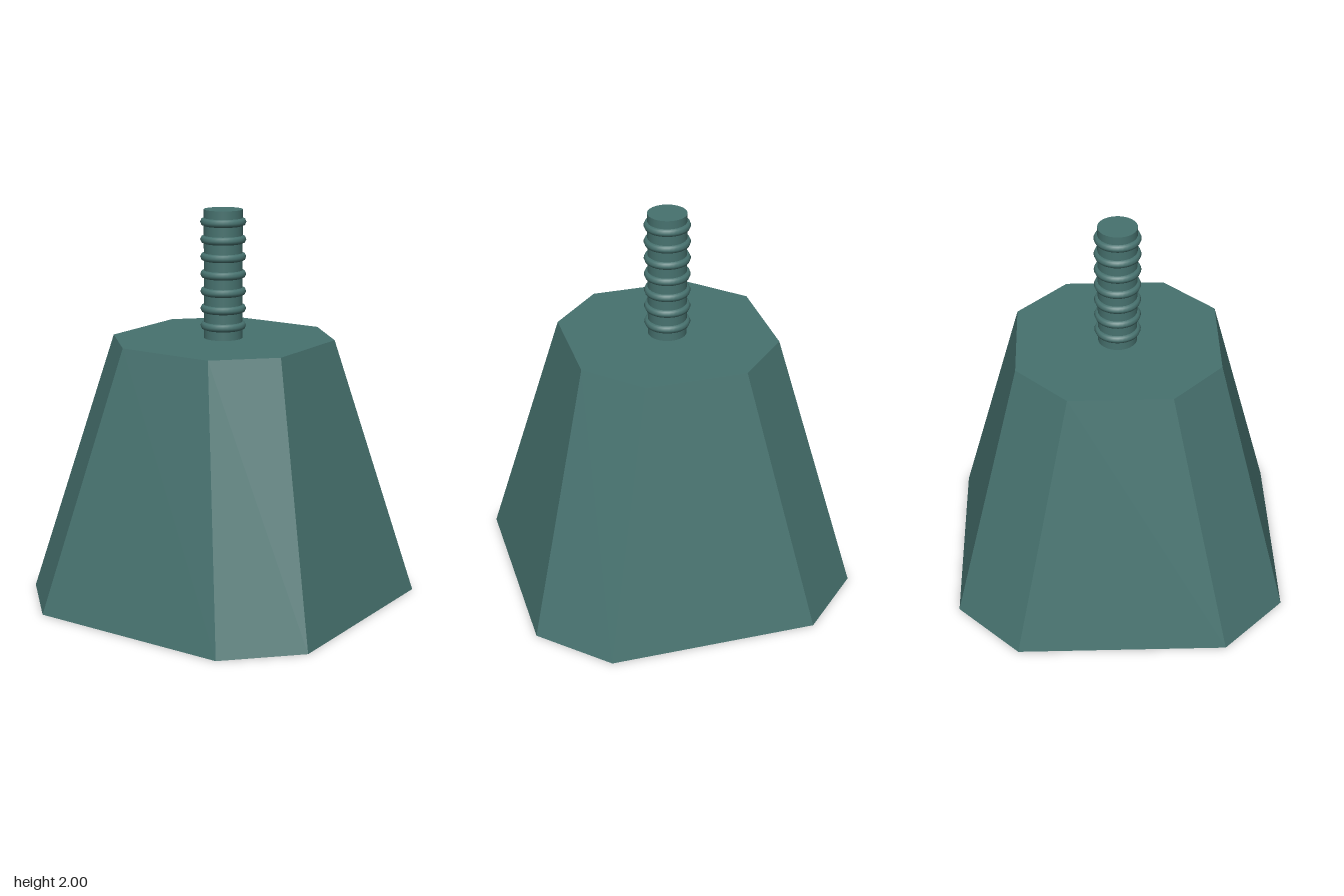
import * as THREE from 'three';

const material = new THREE.MeshStandardMaterial({ color: 0x47726f });

// Chamfered square: half width h, half length of the straight side c
function octagon(h, c, y) {
  return [[h, -c], [h, c], [c, h], [-c, h], [-h, c], [-h, -c], [-c, -h], [c, -h]]
    .map(([x, z]) => [x, y, z]);
}

// Flat-faced solid between two octagons, with both ends closed
function frustum(bottom, top) {
  const positions = [];
  const tri = (...corners) => corners.forEach((p) => positions.push(...p));
  const low = [0, bottom[0][1], 0];
  const high = [0, top[0][1], 0];
  for (let i = 0; i < 8; i++) {
    const j = (i + 1) % 8;
    tri(bottom[i], top[i], top[j]);
    tri(bottom[i], top[j], bottom[j]);
    tri(high, top[j], top[i]);
    tri(low, bottom[i], bottom[j]);
  }
  const geometry = new THREE.BufferGeometry();
  geometry.setAttribute('position', new THREE.Float32BufferAttribute(positions, 3));
  geometry.computeVertexNormals();
  return geometry;
}

export function createModel() {
  const group = new THREE.Group();
  const add = (name, geometry, y = 0) => {
    const mesh = new THREE.Mesh(geometry, material);
    mesh.name = name;
    mesh.position.y = y;
    group.add(mesh);
    return mesh;
  };

  // Tapered eight-sided body
  add('body', frustum(octagon(0.845, 0.53, 0), octagon(0.507, 0.255, 1.347)));

  // Stud standing on the body
  add('stud', new THREE.CylinderGeometry(0.098, 0.098, 0.66, 32), 1.67);

  // Thread rings around the stud
  const ring = new THREE.TorusGeometry(0.095, 0.021, 8, 32).rotateX(Math.PI / 2);
  for (let i = 0; i < 7; i++) add('threadRing', ring, 1.411 + i * 0.0878);

  return group;
}
